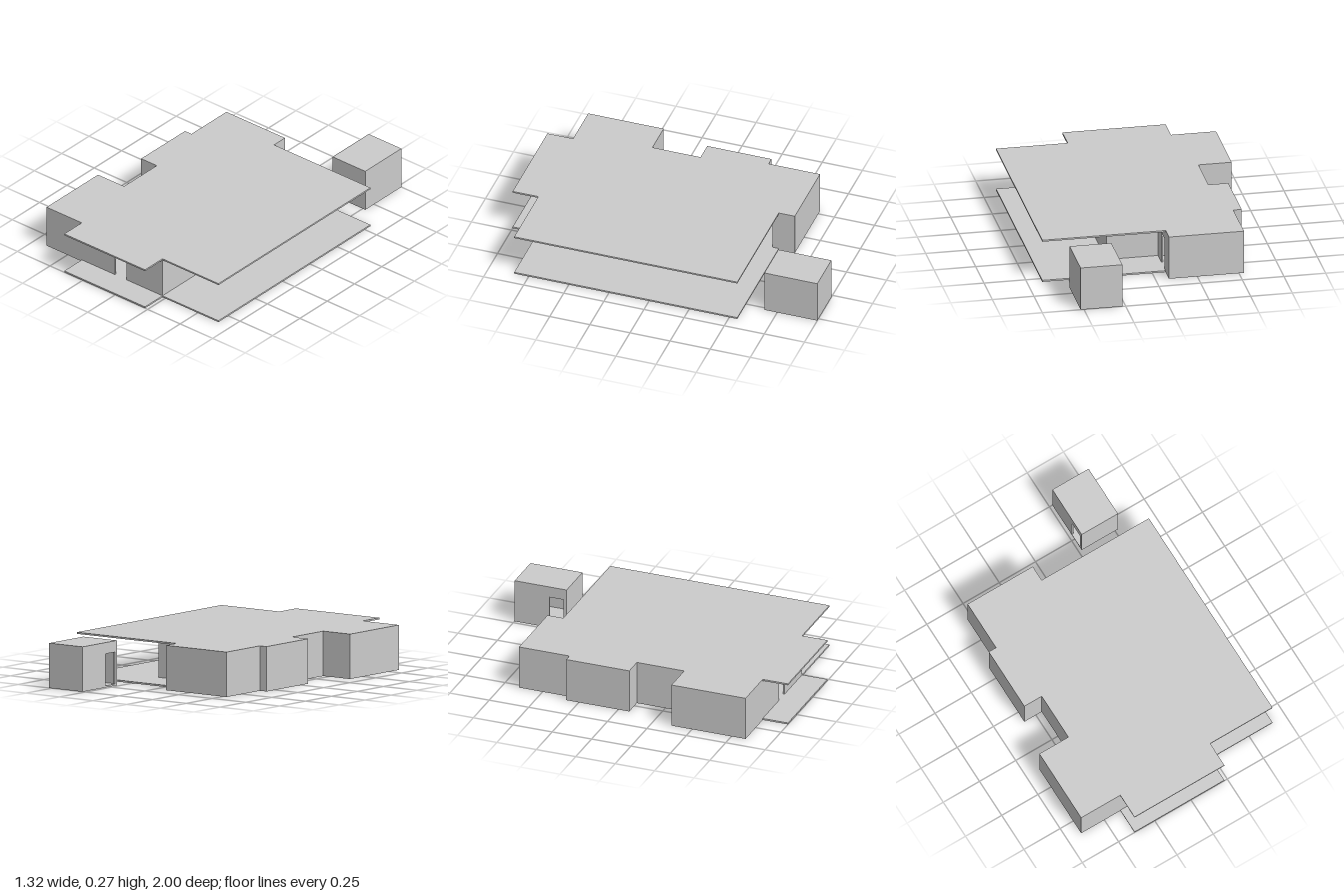
import * as THREE from 'three';

const HEIGHT = 0.267, SLAB = 0.01, WALL = 0.01, DOOR_TOP = 0.2;
const material = new THREE.MeshStandardMaterial({ color: 0xcccccc, flatShading: true });

// Outlines are lists of [x, z] corners, running clockwise seen from above.
const slabOutline = [
  [-0.53, -0.65], [-0.08, -0.65], [-0.08, -0.55], [0.66, -0.55],
  [0.66, 0.84], [0.23, 0.84], [0.23, 1], [-0.39, 1], [-0.39, 0.84],
  [-0.66, 0.84], [-0.66, 0.37], [-0.46, 0.37], [-0.46, 0.07],
  [-0.58, 0.07], [-0.58, -0.33], [-0.53, -0.33],
];
const houseOutline = [
  [-0.53, -0.65], [-0.08, -0.65], [-0.08, -0.32], [0.23, -0.32],
  [0.23, 0.84], [-0.66, 0.84], [-0.66, 0.37], [-0.46, 0.37],
  [-0.46, 0.07], [-0.58, 0.07], [-0.58, -0.33], [-0.53, -0.33],
];
const shedOutline = [[0.27, -1], [0.52, -1], [0.52, -0.67], [0.27, -0.67]];

const shapeOf = (points) => new THREE.Shape(points.map(([a, b]) => new THREE.Vector2(a, b)));

// Flat plate whose top lies at the given height
function slab(name, outline, top) {
  const geometry = new THREE.ExtrudeGeometry(shapeOf(outline), { depth: SLAB, bevelEnabled: false });
  geometry.rotateX(Math.PI / 2);
  const mesh = new THREE.Mesh(geometry, material);
  mesh.position.y = top;
  mesh.name = name;
  return mesh;
}

// Upright wall from a to b, thickened inward, with an optional doorway [from, to] along it
function wall(name, a, b, door) {
  const dx = b[0] - a[0], dz = b[1] - a[1];
  const length = Math.hypot(dx, dz), top = HEIGHT - SLAB;
  const points = [[0, SLAB]];
  if (door) {
    points.push([door[0], SLAB], [door[0], DOOR_TOP], [door[1], DOOR_TOP], [door[1], SLAB]);
  }
  points.push([length, SLAB], [length, top], [0, top]);
  const geometry = new THREE.ExtrudeGeometry(shapeOf(points), { depth: WALL, bevelEnabled: false });
  const mesh = new THREE.Mesh(geometry, material);
  mesh.position.set(a[0], 0, a[1]);
  mesh.rotation.y = Math.atan2(-dz, dx);
  mesh.name = name;
  return mesh;
}

// Closed ring of walls; doors maps a side's index to its doorway
function walls(name, outline, doors) {
  const group = new THREE.Group();
  group.name = name;
  outline.forEach((corner, i) => {
    const next = outline[(i + 1) % outline.length];
    group.add(wall(doors[i] ? 'doorWall' : 'wall', corner, next, doors[i]));
  });
  return group;
}

export function createModel() {
  const model = new THREE.Group();
  model.name = 'bungalow';

  // House: matching floor and overhanging roof, with the rooms between
  const house = new THREE.Group();
  house.name = 'house';
  house.add(
    slab('floor', slabOutline, SLAB),
    slab('roof', slabOutline, HEIGHT),
    walls('outerWalls', houseOutline, { 1: [0.14, 0.23], 4: [0.275, 0.365] }),
    wall('backPartition', [-0.53, -0.33], [-0.08, -0.33]),
    wall('hallPartition', [-0.105, -0.32], [-0.105, 0.3]),
  );

  // Detached shed with a doorway facing the house
  const shed = new THREE.Group();
  shed.name = 'shed';
  shed.add(
    slab('shedFloor', shedOutline, SLAB),
    slab('shedRoof', shedOutline, HEIGHT),
    walls('shedWalls', shedOutline, { 3: [0.02, 0.11] }),
  );

  model.add(house, shed);
  return model;
}
